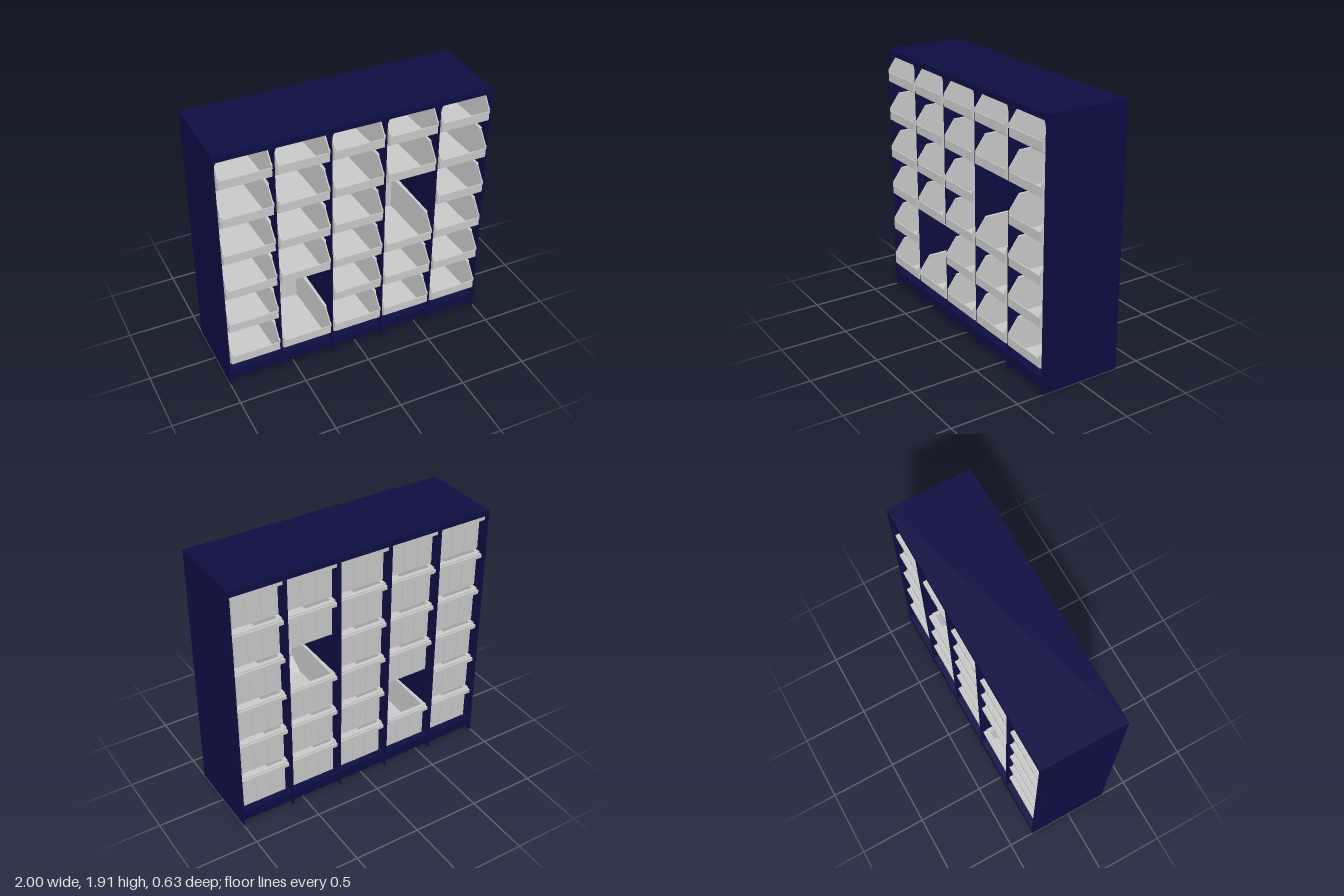
import * as THREE from 'three';
import { mergeGeometries } from 'three/addons/utils/BufferGeometryUtils.js';

const navy = new THREE.MeshStandardMaterial({ color: 0x0d0d42 });
navy.name = 'navy steel';
const grey = new THREE.MeshStandardMaterial({ color: 0xc8c8c8 });
grey.name = 'light grey plastic';

const PITCH_X = 0.398, PITCH_Y = 0.2965, BIN_H = 0.266;

const polygon = (pts) => new THREE.Shape(pts.map(([a, b]) => new THREE.Vector2(a, b)));

// Extrude a (z, y) outline across x, centred on x
function acrossX(shape, width, x = 0) {
  const g = new THREE.ExtrudeGeometry(shape, { depth: width, bevelEnabled: false });
  g.translate(0, 0, -width / 2);
  g.rotateY(-Math.PI / 2);
  return g.translate(x, 0, 0);
}

// Box given by its limits
function block(x0, x1, y0, y1, z0, z1) {
  return new THREE.BoxGeometry(x1 - x0, y1 - y0, z1 - z0)
    .translate((x0 + x1) / 2, (y0 + y1) / 2, (z0 + z1) / 2).toNonIndexed();
}

// Narrow the bin towards its back
function taper(g) {
  const p = g.attributes.position;
  for (let i = 0; i < p.count; i++) {
    const t = (p.getZ(i) + 0.262) / 0.577;
    p.setX(i, p.getX(i) * (0.9 + 0.1 * t));
  }
  return g;
}

function binGeometry() {
  const H = BIN_H, parts = [];
  // back wall, floor, sloping nose and front lip in one bent sheet
  const sheet = polygon([[-0.262, H], [-0.262, 0], [0.2, 0], [0.315, 0.07], [0.315, 0.135],
    [0.307, 0.135], [0.307, 0.075], [0.197, 0.008], [-0.254, 0.008], [-0.254, H]]);
  parts.push(taper(acrossX(sheet, 0.362)));
  const side = polygon([[-0.262, 0], [0.2, 0], [0.315, 0.07], [0.315, 0.16], [0.24, H], [-0.262, H]]);
  for (const s of [-1, 1]) {
    parts.push(taper(acrossX(side, 0.008, s * 0.178)));
    // side rim and front corner flange
    const [a, b] = s > 0 ? [0.166, 0.187] : [-0.187, -0.166];
    parts.push(block(a, b, H - 0.025, H, -0.27, 0.235));
    const [c, d] = s > 0 ? [0.176, 0.187] : [-0.187, -0.176];
    parts.push(block(c, d, 0.125, 0.16, 0.295, 0.313));
    // back ribs and rear corner posts
    parts.push(block(s * 0.055 - 0.012, s * 0.055 + 0.012, 0.004, H - 0.03, -0.268, -0.26));
    parts.push(block(s * 0.155 - 0.008, s * 0.155 + 0.008, 0.004, H - 0.03, -0.267, -0.26));
  }
  // stepped hanging rim at the back
  parts.push(block(-0.183, 0.183, H - 0.036, H - 0.008, -0.298, -0.26));
  parts.push(block(-0.165, 0.165, H - 0.01, H, -0.285, -0.254));
  parts.push(block(-0.16, 0.16, H - 0.05, H - 0.034, -0.28, -0.26));
  const g = mergeGeometries(parts);
  g.computeVertexNormals();
  return g;
}

// Upright panel with two columns of small slots
function panelGeometry() {
  const shape = polygon([[-0.315, 0], [0.305, 0], [0.305, 1.9], [-0.315, 1.9]]);
  for (const z of [-0.275, 0.265]) {
    for (let y = 0.13; y < 1.87; y += 0.03) {
      const h = new THREE.Path();
      h.moveTo(z - 0.003, y - 0.004);
      h.lineTo(z - 0.003, y + 0.004);
      h.lineTo(z + 0.003, y + 0.004);
      h.lineTo(z + 0.003, y - 0.004);
      shape.holes.push(h);
    }
  }
  return acrossX(shape, 0.01);
}

// Curved corner gusset; sx and sy choose the direction it spreads
function gussetGeometry(sx, sy) {
  const s = new THREE.Shape();
  s.moveTo(0, 0);
  s.lineTo(sx * 0.026, 0);
  s.quadraticCurveTo(sx * 0.01, sy * 0.004, sx * 0.006, sy * 0.046);
  s.lineTo(0, sy * 0.046);
  return new THREE.ExtrudeGeometry(s, { depth: 0.012, bevelEnabled: false, curveSegments: 6 });
}

export function createModel() {
  const model = new THREE.Group();
  model.name = 'binCabinet';
  const add = (name, geo, mat, x = 0, y = 0, z = 0) => {
    const m = new THREE.Mesh(geo, mat);
    m.name = name;
    m.position.set(x, y, z);
    model.add(m);
  };

  // cabinet shell, open at front and back
  add('topPanel', block(-1, 1, 1.876, 1.915, -0.315, 0.305), navy);
  add('basePanel', block(-1, 1, 0.046, 0.12, -0.314, 0.304), navy);
  const panel = panelGeometry();
  for (let i = 0; i < 6; i++) {
    const x = (i - 2.5) * PITCH_X;
    add(i % 5 ? 'divider' : 'sidePanel', panel, navy, x);
    for (const s of [-1, 1]) {
      if ((i === 0 && s < 0) || (i === 5 && s > 0)) continue;
      add('footGusset', gussetGeometry(s, -1), navy, x, 0.046, 0.292);
      add('topGusset', gussetGeometry(s, -1), navy, x, 1.877, 0.292);
    }
  }

  // storage bins, with two bays left empty
  const bin = binGeometry();
  const empty = ['1,1', '3,3'];
  for (let col = 0; col < 5; col++) {
    for (let row = 0; row < 6; row++) {
      if (empty.includes(`${col},${row}`)) continue;
      add('bin', bin, grey, (col - 2) * PITCH_X, 0.126 + row * PITCH_Y);
    }
  }
  return model;
}
